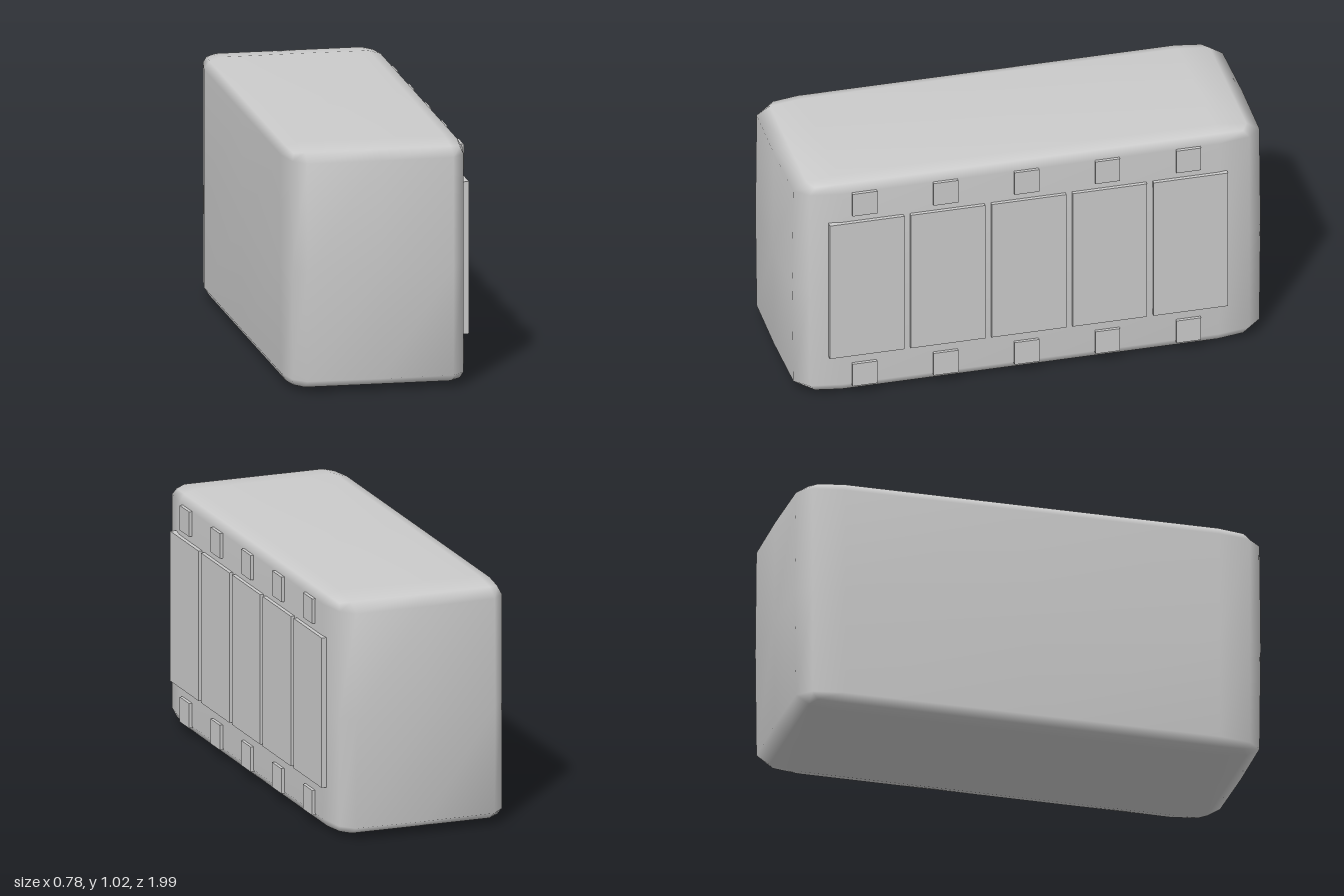
import * as THREE from 'three';
import { mergeVertices } from 'three/addons/utils/BufferGeometryUtils.js';

const material = new THREE.MeshStandardMaterial({ color: 0xcccccc });

// Soft box: each axis has grid lines -2..2, where 2 is the bevel, 1 the edge of the flat, 0 the middle
function softBox(half, radius, bulge) {
  let geometry = new THREE.BoxGeometry(4, 4, 4, 4, 4, 4);
  geometry.deleteAttribute('uv');
  geometry.deleteAttribute('normal');
  geometry = mergeVertices(geometry);
  const position = geometry.attributes.position;
  for (let i = 0; i < position.count; i++) {
    const grid = [position.getX(i), position.getY(i), position.getZ(i)].map(Math.round);
    const outer = grid.filter((g) => Math.abs(g) === 2).length;
    const middles = grid.filter((g) => g === 0).length;
    const point = grid.map((g, axis) => {
      if (g === 0) return 0;
      let size = half[axis] - radius[axis];
      if (Math.abs(g) === 2) {
        size += radius[axis] / Math.sqrt(outer);
        if (outer === 1) size += (bulge[axis] * middles) / 2;
      }
      return Math.sign(g) * size;
    });
    position.setXYZ(i, ...point);
  }
  geometry.computeVertexNormals();
  return geometry;
}

function addPlate(parent, name, xMin, xMax, height, width, y, z) {
  const plate = new THREE.Mesh(new THREE.BoxGeometry(xMax - xMin, height, width), material);
  plate.name = name;
  plate.position.set((xMin + xMax) / 2, y, z);
  parent.add(plate);
}

export function createModel() {
  const model = new THREE.Group();
  model.name = 'softCase';

  // Rounded main body
  const body = new THREE.Mesh(
    softBox([0.38, 0.508, 0.986], [0.075, 0.05, 0.19], [0.002, 0.002, 0.01]),
    material
  );
  body.name = 'body';
  body.position.set(-0.008, 0.512, 0);
  model.add(body);

  // Row of tall panels on the left side, with a small square above and below each
  const panels = new THREE.Group();
  panels.name = 'sidePanels';
  model.add(panels);
  for (let i = 0; i < 5; i++) {
    const z = 0.697 - i * 0.3425;
    addPlate(panels, 'tallPanel', 0.355, 0.389, 0.64, 0.315, 0.515, z);
    for (const y of [0.1, 0.918]) {
      addPlate(panels, 'squareTab', 0.355, 0.386, 0.106, 0.104, y, z + 0.008);
    }
  }
  return model;
}
